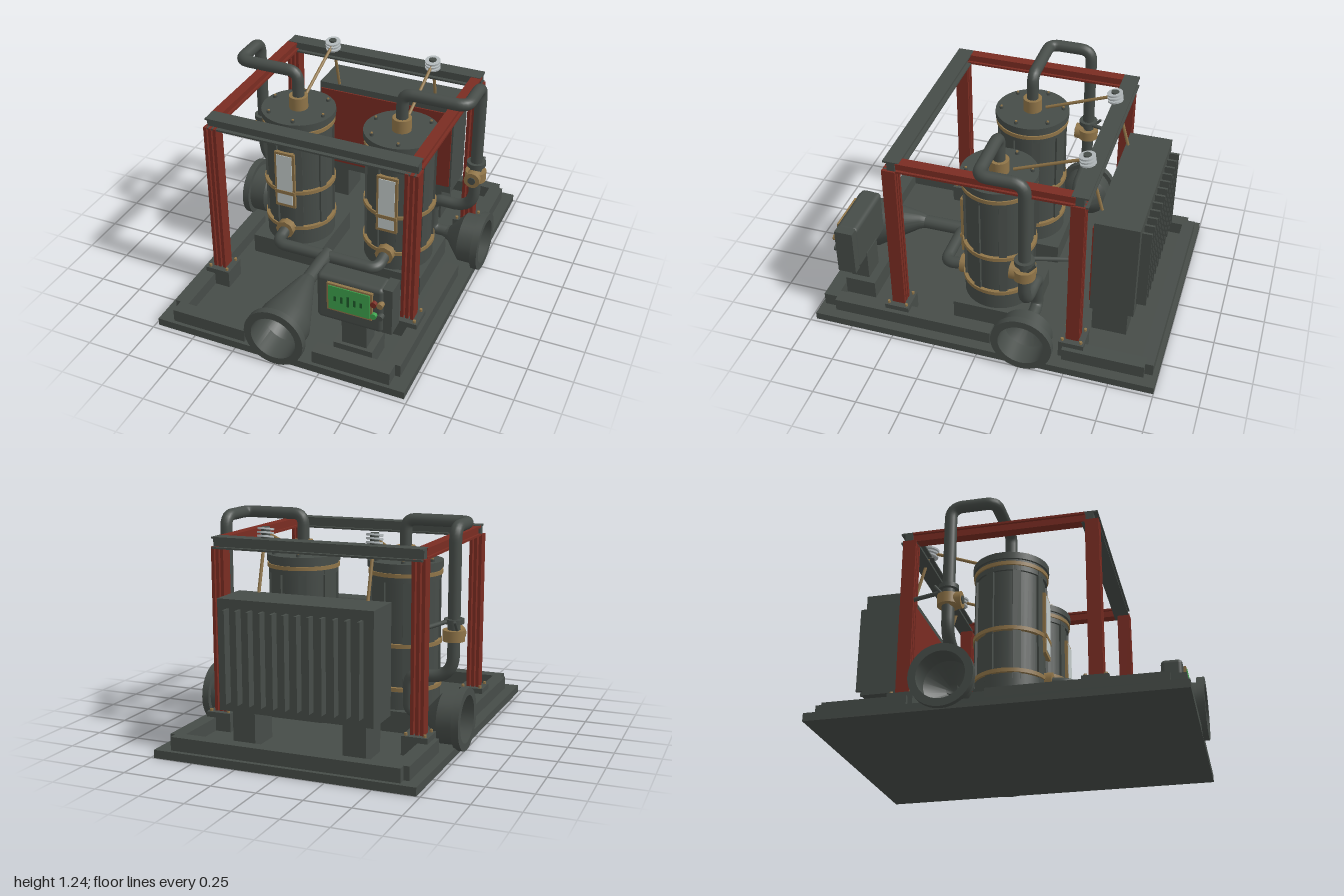
import * as THREE from 'three';
import { toCreasedNormals } from 'three/addons/utils/BufferGeometryUtils.js';
import { RoundedBoxGeometry } from 'three/addons/geometries/RoundedBoxGeometry.js';

const material = (name, color) => {
  const m = new THREE.MeshStandardMaterial({ color });
  m.name = name;
  return m;
};

export function createModel() {
  const root = new THREE.Group();
  root.name = 'skidMountedFilterUnit';
  const gray = material('paintedGray', 0x464c48);
  const red = material('oxideRed', 0x7a2c22);
  const brass = material('brass', 0x8f7448);
  const glass = material('paleGlass', 0xc2cac9);
  const green = material('screenGreen', 0x3da14c);
  const darkGreen = material('darkGreen', 0x1d5a2a);
  const silver = material('silver', 0xb4bbbd);

  const add = (name, geo, mat, x = 0, y = 0, z = 0) => {
    const m = new THREE.Mesh(geo, mat);
    m.name = name;
    m.position.set(x, y, z);
    root.add(m);
    return m;
  };
  // box given by its limits on each axis
  const box = (name, mat, x0, x1, y0, y1, z0, z1) =>
    add(name, new THREE.BoxGeometry(Math.abs(x1 - x0), y1 - y0, Math.abs(z1 - z0)), mat,
      (x0 + x1) / 2, (y0 + y1) / 2, (z0 + z1) / 2);
  // cylinder along a chosen axis, centred on the given point
  const cyl = (name, mat, r, h, x, y, z, axis = 'y', sides = 32) => {
    const g = new THREE.CylinderGeometry(r, r, h, sides);
    if (axis === 'x') g.rotateZ(-Math.PI / 2);
    if (axis === 'z') g.rotateX(Math.PI / 2);
    return add(name, g, mat, x, y, z);
  };
  // straight round rod between two points
  const rod = (name, mat, r, a, b) => {
    const p = new THREE.Vector3(...a), q = new THREE.Vector3(...b);
    const m = cyl(name, mat, r, p.distanceTo(q), 0, 0, 0, 'y', 10);
    m.position.copy(p).lerp(q, 0.5);
    m.quaternion.setFromUnitVectors(new THREE.Vector3(0, 1, 0), q.sub(p).normalize());
    return m;
  };
  // pipe along a polyline with rounded corners
  const pipe = (name, mat, r, pts, bends) => {
    const v = pts.map(p => new THREE.Vector3(...p));
    const path = new THREE.CurvePath();
    let from = v[0];
    for (let i = 1; i < v.length - 1; i++) {
      const b = bends[i - 1];
      const s = v[i].clone().add(v[i - 1].clone().sub(v[i]).setLength(b));
      const e = v[i].clone().add(v[i + 1].clone().sub(v[i]).setLength(b));
      path.add(new THREE.LineCurve3(from, s));
      path.add(new THREE.QuadraticBezierCurve3(s, v[i], e));
      from = e;
    }
    path.add(new THREE.LineCurve3(from, v[v.length - 1]));
    return add(name, new THREE.TubeGeometry(path, 140, r, 16), mat);
  };
  // hollow funnel with a flanged mouth, opening along +y, mouth at 0
  const funnel = (tip, shoulder, rTip) => toCreasedNormals(new THREE.LatheGeometry([
    [rTip, tip], [rTip + 0.01, tip + 0.03], [0.145, shoulder], [0.145, -0.04], [0.172, -0.04],
    [0.172, 0], [0.13, 0], [0.13, shoulder], [rTip, tip + 0.03], [0, tip + 0.02],
  ].map(p => new THREE.Vector2(...p)), 40), 0.5);

  // base plate and raised kerb
  box('basePlate', gray, -0.73, 0.73, 0.005, 0.05, -1, 0.97);
  box('rearKerb', gray, -0.64, 0.64, 0.05, 0.125, -0.975, -0.905);
  for (const s of [-1, 1]) {
    box('sideKerb', gray, s * 0.59, s * 0.67, 0.05, 0.125, -0.06, 0.87);
    box('sideKerb', gray, s * 0.59, s * 0.67, 0.05, 0.125, -0.93, -0.47);
    box('frontKerb', gray, s * 0.2, s * 0.64, 0.05, 0.125, 0.87, 0.95);
  }

  // frame posts with feet and corner bolts
  for (const s of [-1, 1]) for (const z of [0.5, -0.515]) {
    for (const x of [0.546, 0.574, 0.602])
      box('framePost', red, s * (x - 0.009), s * (x + 0.009), 0.15, 1.075, z - 0.037, z + 0.037);
    box('postFoot', gray, s * 0.5, s * 0.645, 0.05, 0.155, z - 0.07, z + 0.07);
    for (const dx of [0.52, 0.625]) for (const dz of [-0.052, 0.052])
      cyl('footBolt', brass, 0.009, 0.015, s * dx, 0.162, z + dz, 'y', 6);
  }
  // top beams with I sections
  for (const z of [0.487, -0.522]) {
    for (const y of [1.065, 1.12])
      box('crossBeamFlange', gray, -0.6, 0.6, y, y + 0.01, z - 0.045, z + 0.045);
    box('crossBeamWeb', gray, -0.6, 0.6, 1.07, 1.125, z - 0.022, z + 0.022);
  }
  for (const s of [-1, 1]) {
    for (const y of [1.068, 1.115])
      box('sideBeamFlange', red, s * 0.545, s * 0.605, y, y + 0.012, -0.5, 0.46);
    box('sideBeamWeb', red, s * 0.56, s * 0.59, 1.072, 1.122, -0.51, 0.5);
  }

  // filter vessels, one on each side
  const vz = -0.01;
  for (const s of [-1, 1]) {
    const x = s * 0.312;
    box('vesselPlinth', gray, x - 0.215, x + 0.215, 0.05, 0.17, -0.24, 0.2);
    cyl('vesselBody', gray, 0.188, 0.78, x, 0.56, vz, 'y', 40);
    cyl('vesselFoot', gray, 0.2, 0.1, x, 0.22, vz, 'y', 40);
    cyl('vesselNeckRing', gray, 0.2, 0.07, x, 0.915, vz, 'y', 40);
    cyl('vesselLid', gray, 0.212, 0.038, x, 0.965, vz, 'y', 40);
    for (const y of [0.285, 0.53, 0.92]) cyl('vesselBand', brass, 0.208, 0.022, x, y, vz, 'y', 40);
    for (let i = 0; i < 8; i++) {
      const a = (i + 0.5) * Math.PI / 4;
      const rib = add('vesselRib', new THREE.BoxGeometry(0.045, 0.68, 0.02), gray,
        x + 0.189 * Math.sin(a), 0.58, vz + 0.189 * Math.cos(a));
      rib.rotation.y = a;
    }
    for (let i = 0; i < 6; i++) {
      const a = (i + 0.25) * Math.PI / 3;
      const bx = x + 0.178 * Math.cos(a), bz = vz + 0.178 * Math.sin(a);
      cyl('lidBolt', gray, 0.012, 0.016, bx, 0.99, bz, 'y', 6);
      cyl('lidStud', brass, 0.007, 0.008, bx, 1.0, bz, 'y', 6);
    }
    cyl('lidNozzle', brass, 0.054, 0.08, x, 1.02, vz);

    // sight window
    box('windowFrame', brass, x - 0.062, x + 0.062, 0.43, 0.79, 0.13, 0.196);
    box('windowGlass', glass, x - 0.048, x + 0.048, 0.45, 0.775, 0.19, 0.2);
    box('windowBar', brass, x - 0.062, x + 0.062, 0.519, 0.541, 0.19, 0.203);

    // overhead pipe to the side connection
    pipe('overheadPipe', gray, 0.034, [[x, 1.03, vz], [x, 1.207, vz], [s * 0.675, 1.207, vz],
      [s * 0.675, 1.207, -0.26], [s * 0.675, 0.4, -0.26], [s * 0.43, 0.4, -0.265],
      [s * 0.43, 0.19, -0.265], [s * 0.56, 0.19, -0.265]], [0.06, 0.06, 0.07, 0.13, 0.06, 0.05]);
    const side = funnel(-0.25, -0.13, 0.035);
    side.rotateZ(-s * Math.PI / 2);
    add('sideInlet', side, gray, s * 0.76, 0.182, -0.265);

    // valve with round front cap and lever
    cyl('valveBody', brass, 0.06, 0.06, s * 0.675, 0.635, -0.26);
    cyl('valveCap', brass, 0.046, 0.06, s * 0.675, 0.635, -0.215, 'z');
    cyl('valveHub', gray, 0.022, 0.01, s * 0.675, 0.635, -0.184, 'z');
    rod('valveLever', gray, 0.008, [s * 0.7, 0.66, -0.28], [s * 0.7, 0.72, -0.33]);
    cyl('pipeCollar', gray, 0.054, 0.025, s * 0.675, 0.712, -0.26);
    rod('pipeStrut', gray, 0.012, [s * 0.65, 0.712, -0.27], [s * 0.59, 0.712, -0.49]);

    // front outlet nozzle
    cyl('outletNozzle', brass, 0.056, 0.045, x, 0.28, 0.2, 'z', 8);
    pipe('outletPipe', gray, 0.034, [[x, 0.28, 0.15], [x, 0.258, 0.325], [0, 0.258, 0.325]], [0.06]);

    // insulator stack with conductor rods
    cyl('insulatorCore', gray, 0.024, 0.065, x, 1.15, -0.49, 'y', 12);
    for (let i = 0; i < 3; i++) {
      const ring = cyl('insulatorDisc', silver, 0.045, 0.01, x, 1.138 + i * 0.02, -0.49 + i * 0.003, 'y', 12);
      ring.rotation.x = 0.2;
    }
    cyl('insulatorTip', gray, 0.022, 0.012, x, 1.184, -0.485, 'y', 12);
    rod('conductorRod', brass, 0.009, [x, 1.155, -0.47], [x, 1.01, -0.09]);
    rod('conductorDrop', brass, 0.009, [x, 1.13, -0.5], [x, 0.84, -0.58]);
  }

  // central outlet with skewed funnel
  pipe('centrePipe', gray, 0.04, [[0, 0.258, 0.3], [0, 0.258, 0.57]], []);
  const mouth = funnel(-0.44, -0.15, 0.04);
  mouth.rotateX(Math.PI / 2);
  const mp = mouth.attributes.position;
  for (let i = 0; i < mp.count; i++) {
    const t = Math.min(1, Math.max(0, (-0.15 - mp.getZ(i)) / 0.26));
    mp.setY(i, mp.getY(i) + 0.076 * t);
  }
  add('frontOutlet', toCreasedNormals(mouth, 0.5), gray, 0, 0.182, 1);

  // rear cooling cabinet with fins and legs
  box('coolerBody', gray, -0.435, 0.435, 0.25, 0.85, -0.81, -0.565);
  box('coolerFrontPanel', red, -0.425, 0.425, 0.3, 0.81, -0.565, -0.556);
  for (let i = 0; i < 12; i++) {
    const x = -0.374 + i * 0.068;
    box('coolerFin', gray, x - 0.007, x + 0.007, 0.3, 0.8, -0.865, -0.8);
  }
  for (const s of [-1, 1]) box('coolerLeg', gray, s * 0.25, s * 0.38, 0.05, 0.25, -0.77, -0.57);

  // control cabinet on its stand
  box('cabinetFoot', gray, 0.29, 0.51, 0.05, 0.16, 0.69, 0.87);
  box('cabinetStand', gray, 0.33, 0.47, 0.12, 0.34, 0.74, 0.85);
  add('cabinet', new RoundedBoxGeometry(0.37, 0.28, 0.125, 3, 0.025), gray, 0.38, 0.443, 0.807);
  box('cabinetSidePlate', gray, 0.555, 0.61, 0.305, 0.585, 0.75, 0.855);
  box('screenFrame', brass, 0.262, 0.512, 0.388, 0.558, 0.86, 0.885);
  box('screen', green, 0.273, 0.501, 0.4, 0.547, 0.88, 0.89);
  [0.03, 0.04, 0.065, 0.04, 0.03].forEach((h, i) => {
    const x = 0.31 + i * 0.036;
    box('screenGauge', darkGreen, x - 0.007, x + 0.007, 0.473 - h / 2, 0.473 + h / 2, 0.885, 0.893);
  });
  [[0.52, 0.495, red], [0.555, 0.497, brass], [0.52, 0.42, green], [0.555, 0.42, gray]].forEach(
    ([x, y, m]) => cyl('controlButton', m, 0.017, 0.03, x, y, 0.875, 'z', 16));
  return root;
}
